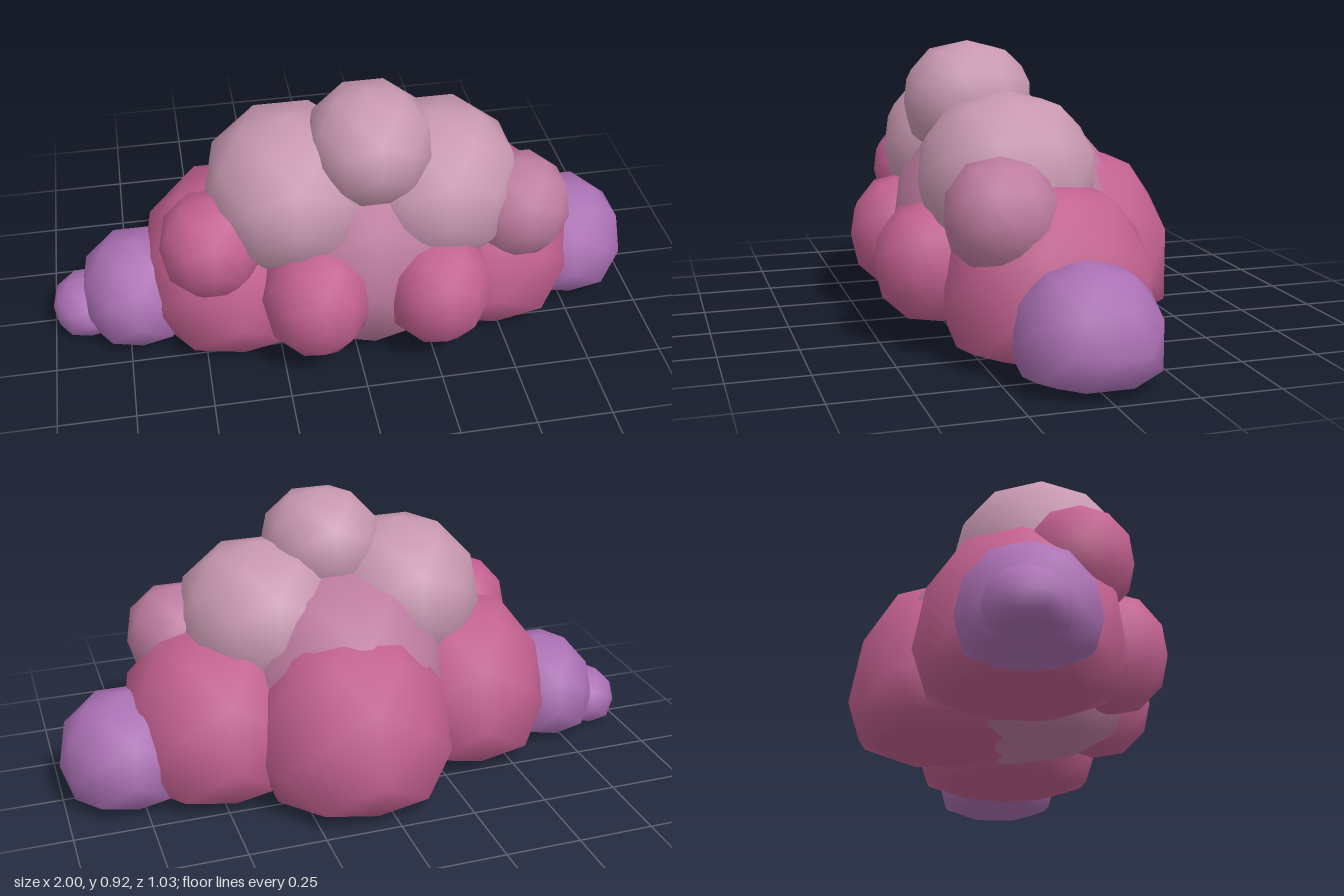
import * as THREE from 'three';
import { mergeVertices } from 'three/addons/utils/BufferGeometryUtils.js';

const material = (color) => new THREE.MeshStandardMaterial({ color });
const pale = material(0xc898b0);
const dusty = material(0xbe7c9f);
const pink = material(0xc2608f);
const purple = material(0xab70b4);

const FULLNESS = 2.25; // 2 is a plain ball, higher is plumper

// Low-poly plump ball; giving "down" squashes the lower half into a flat underside
function puff(name, mat, [x, y, z], [rx, up, rz], down) {
  let geo = new THREE.IcosahedronGeometry(1, 1);
  geo.deleteAttribute('uv');
  geo.deleteAttribute('normal');
  geo = mergeVertices(geo, 1e-3);
  const p = geo.attributes.position;
  const v = new THREE.Vector3();
  for (let i = 0; i < p.count; i++) {
    v.fromBufferAttribute(p, i);
    const sum = v.toArray().reduce((s, c) => s + Math.abs(c) ** FULLNESS, 0);
    v.divideScalar(sum ** (1 / FULLNESS));
    const h = down && v.y < 0 ? -down * (-v.y) ** 0.42 : v.y * up;
    p.setXYZ(i, v.x * rx, h, v.z * rz);
  }
  geo.computeVertexNormals();
  const mesh = new THREE.Mesh(geo, mat);
  mesh.name = name;
  mesh.position.set(x, y, z);
  return mesh;
}

export function createModel() {
  const group = new THREE.Group();
  group.name = 'puffyCloud';
  group.add(
    // Crown
    puff('topPuff', pale, [0.06, 0.735, 0.16], [0.2, 0.193, 0.21]),
    puff('upperRightPuff', pale, [-0.19, 0.55, 0.1], [0.275, 0.27, 0.285]),
    puff('upperLeftPuff', pale, [0.29, 0.52, 0.1], [0.28, 0.27, 0.28]),
    // Core and large base puffs
    puff('corePuff', dusty, [0.05, 0.3, 0.025], [0.37, 0.41, 0.39], 0.29),
    puff('backPuff', pink, [0.07, 0.17, -0.19], [0.33, 0.41, 0.325], 0.165),
    puff('rightBasePuff', pink, [-0.38, 0.17, 0.025], [0.31, 0.38, 0.325], 0.165),
    puff('leftBasePuff', pink, [0.48, 0.17, 0.025], [0.31, 0.38, 0.325], 0.165),
    // Small front puffs
    puff('frontRightPuff', pink, [-0.14, 0.27, 0.32], [0.175, 0.2, 0.195]),
    puff('frontLeftPuff', pink, [0.26, 0.26, 0.32], [0.175, 0.195, 0.195]),
    puff('shoulderRightPuff', pink, [-0.46, 0.43, 0.2], [0.165, 0.172, 0.17]),
    puff('shoulderLeftPuff', dusty, [0.555, 0.455, 0.195], [0.17, 0.175, 0.17]),
    // Purple ends
    puff('leftEndPuff', purple, [0.78, 0.13, 0.005], [0.22, 0.23, 0.22], 0.12),
    puff('rightEndPuff', purple, [-0.71, 0.13, 0.03], [0.19, 0.21, 0.21], 0.12),
    puff('rightTipPuff', purple, [-0.88, 0.08, 0.015], [0.12, 0.11, 0.125], 0.07),
  );
  return group;
}
